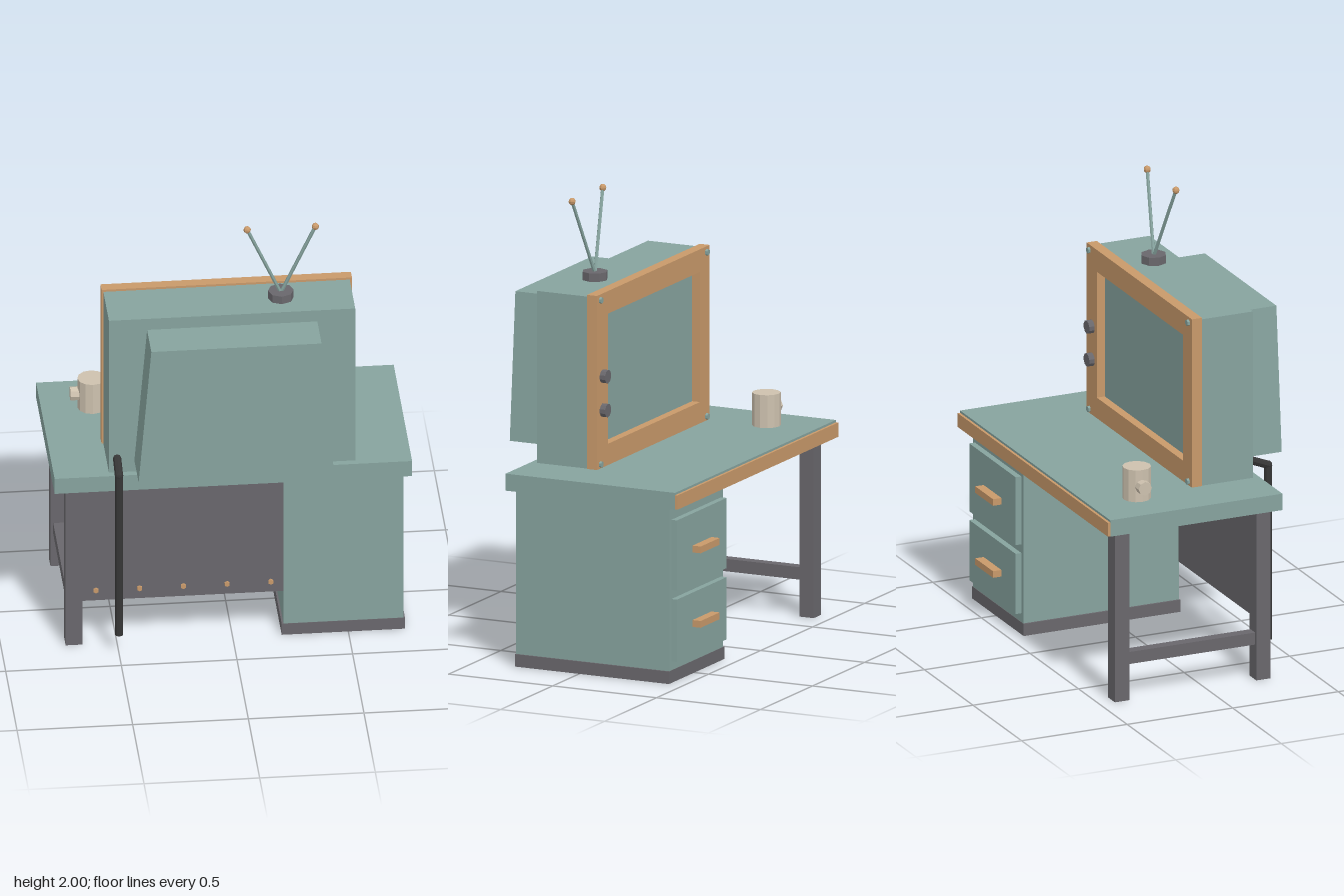
import * as THREE from 'three';

const mat = (name, color) => {
  const m = new THREE.MeshStandardMaterial({ color });
  m.name = name;
  m.flatShading = true;
  return m;
};

export function createModel() {
  const root = new THREE.Group();
  root.name = 'televisionDesk';
  const teal = mat('teal paint', 0x86a39e);
  const wood = mat('orange wood', 0xc8996a);
  const gray = mat('gray metal', 0x69676c);
  const cream = mat('cream ceramic', 0xcdc1ae);
  const black = mat('black rubber', 0x363636);

  const add = (parent, name, geo, material) => {
    const mesh = new THREE.Mesh(geo, material);
    mesh.name = name;
    parent.add(mesh);
    return mesh;
  };
  const group = (name) => {
    const g = new THREE.Group();
    g.name = name;
    root.add(g);
    return g;
  };
  // box given by its [min, max] on each axis
  const box = (parent, name, material, [x0, x1], [y0, y1], [z0, z1]) => {
    const mesh = add(parent, name, new THREE.BoxGeometry(x1 - x0, y1 - y0, z1 - z0), material);
    mesh.position.set((x0 + x1) / 2, (y0 + y1) / 2, (z0 + z1) / 2);
    return mesh;
  };
  // cylinder running between two points
  const rod = (parent, name, material, a, b, radius, sides = 8) => {
    const p = new THREE.Vector3(...a), q = new THREE.Vector3(...b);
    const dir = q.clone().sub(p);
    const mesh = add(parent, name, new THREE.CylinderGeometry(radius, radius, dir.length(), sides), material);
    mesh.position.copy(p).add(q).multiplyScalar(0.5);
    mesh.quaternion.setFromUnitVectors(new THREE.Vector3(0, 1, 0), dir.normalize());
    return mesh;
  };
  const ball = (parent, name, material, pos, r) =>
    add(parent, name, new THREE.SphereGeometry(r, 8, 6), material).position.set(...pos);

  // Desk: top, trim, drawer cabinet
  const desk = group('desk');
  box(desk, 'deskTop', teal, [-0.773, 0.773], [0.78, 0.855], [-0.475, 0.34]);
  box(desk, 'edgeTrim', wood, [-0.773, 0.773], [0.782, 0.845], [-0.487, -0.475]);
  box(desk, 'cabinet', teal, [0.22, 0.738], [0.055, 0.78], [-0.43, 0.308]);
  box(desk, 'plinth', gray, [0.212, 0.745], [0, 0.055], [-0.432, 0.31]);
  for (const [y0, y1, hy] of [[0.095, 0.37, 0.234], [0.41, 0.72, 0.563]]) {
    box(desk, 'drawer', teal, [0.24, 0.718], [y0, y1], [-0.457, -0.43]);
    box(desk, 'drawerHandle', wood, [0.387, 0.57], [hy - 0.015, hy + 0.015], [-0.497, -0.457]);
  }

  // Legs, side rail and modesty panel with its bolts
  for (const z of [-0.43, 0.24]) box(desk, 'leg', gray, [-0.722, -0.65], [0, 0.78], [z, z + 0.068]);
  box(desk, 'sideRail', gray, [-0.71, -0.662], [0.16, 0.215], [-0.362, 0.24]);
  box(desk, 'modestyPanel', gray, [-0.65, 0.219], [0.228, 0.78], [0.305, 0.324]);
  for (let i = 0; i < 5; i++) {
    const x = -0.593 + i * 0.189;
    rod(desk, 'panelBolt', wood, [x, 0.28, 0.32], [x, 0.28, 0.335], 0.012, 6);
  }

  // Television body and screen
  const tv = group('television');
  box(tv, 'tvBody', teal, [-0.535, 0.53], [0.855, 1.615], [0.055, 0.31]);

  // Bezel frame with a rectangular opening
  const rect = (path, x0, x1, y0, y1) =>
    path.moveTo(x0, y0).lineTo(x1, y0).lineTo(x1, y1).lineTo(x0, y1).closePath();
  const frame = new THREE.Shape();
  rect(frame, -0.543, 0.54, 0.856, 1.625);
  const opening = new THREE.Path();
  rect(opening, -0.45, 0.435, 0.95, 1.525);
  frame.holes.push(opening);
  add(tv, 'bezel', new THREE.ExtrudeGeometry(frame, { depth: 0.048, bevelEnabled: false }), wood)
    .position.z = 0.017;

  // Tapered rear housing
  const rear = new THREE.Shape();
  rear.moveTo(-0.425, 0.91).lineTo(0.42, 0.91).lineTo(0.366, 1.56).lineTo(-0.37, 1.56).closePath();
  add(tv, 'rearHousing', new THREE.ExtrudeGeometry(rear, { depth: 0.187, bevelEnabled: false }), teal)
    .position.z = 0.31;

  // Knobs and corner screws
  for (const y of [1.11, 1.26]) rod(tv, 'knob', gray, [0.485, y, 0.02], [0.485, y, -0.009], 0.03, 10);
  for (const x of [-0.51, 0.51])
    for (const y of [0.875, 1.6]) rod(tv, 'cornerScrew', teal, [x, y, 0.02], [x, y, 0.006], 0.014, 6);

  // Antenna
  const antenna = group('antenna');
  rod(antenna, 'antennaBase', gray, [0.22, 1.612, 0.187], [0.22, 1.652, 0.187], 0.056, 8);
  for (const x of [0.071, 0.366]) {
    rod(antenna, 'antennaRod', teal, [0.22, 1.64, 0.187], [x, 1.985, 0.224], 0.008, 6);
    ball(antenna, 'antennaTip', wood, [x, 1.985, 0.224], 0.016);
  }

  // Power cable hanging behind the set
  const cable = group('powerCable');
  rod(cable, 'cableStub', black, [-0.5, 0.93, 0.3], [-0.5, 0.89, 0.398], 0.018);
  ball(cable, 'cableBend', black, [-0.5, 0.89, 0.398], 0.019);
  rod(cable, 'cableDrop', black, [-0.5, 0.89, 0.398], [-0.5, 0.095, 0.398], 0.018);

  // Mug
  const mug = group('mug');
  rod(mug, 'mugBody', cream, [-0.555, 0.855, -0.25], [-0.555, 1, -0.25], 0.062, 12);
  rod(mug, 'mugHandle', cream, [-0.6, 0.925, -0.252], [-0.648, 0.925, -0.252], 0.031, 8);

  return root;
}
